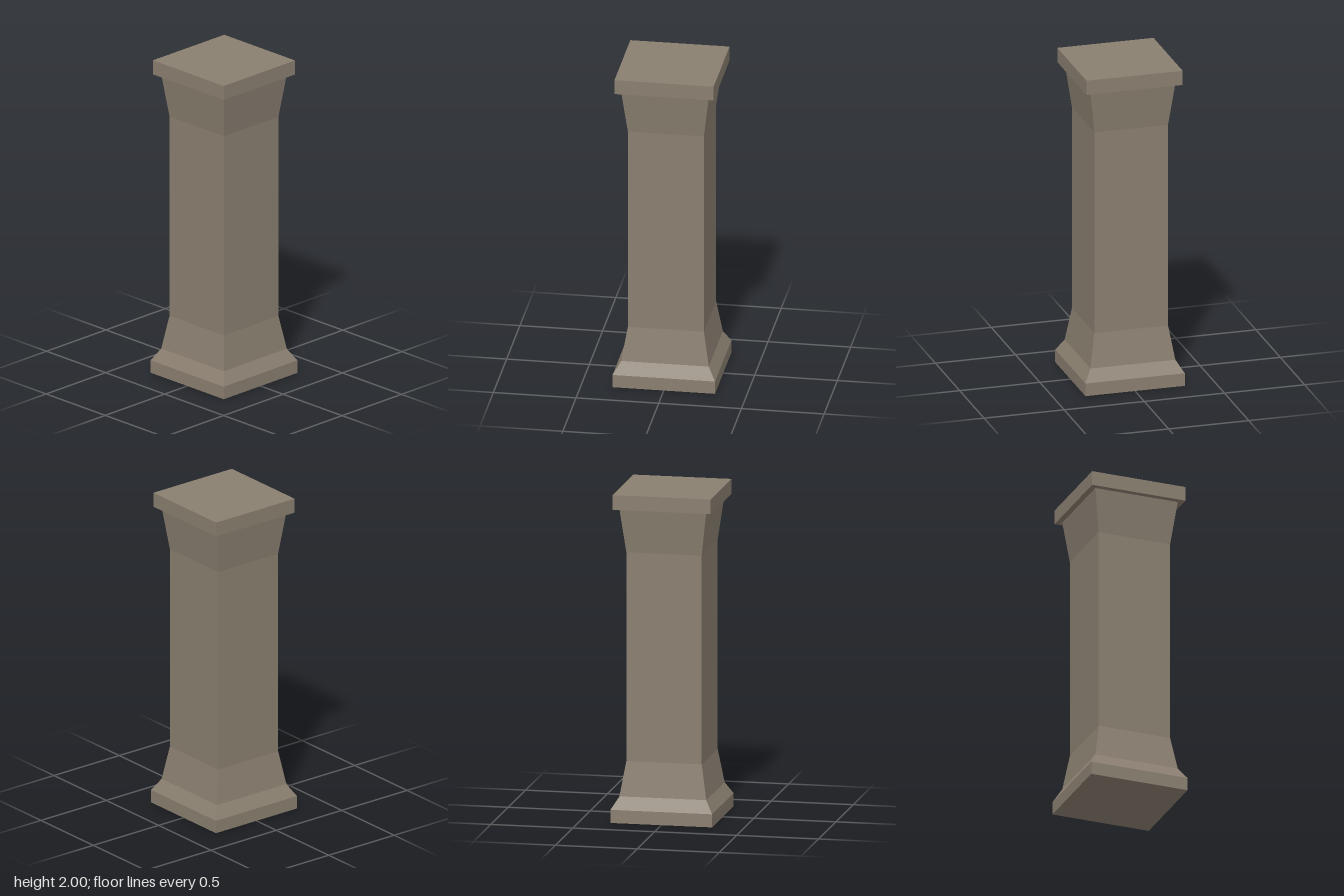
import * as THREE from 'three';

// Square frustum with hard edges; lower and upper are half widths
function squareSection(name, y0, y1, lower, upper, material, open) {
  const geometry = new THREE.CylinderGeometry(
    upper * Math.SQRT2, lower * Math.SQRT2, y1 - y0, 4, 1, open, Math.PI / 4
  ).toNonIndexed();
  geometry.computeVertexNormals();
  const mesh = new THREE.Mesh(geometry, material);
  mesh.name = name;
  mesh.position.y = (y0 + y1) / 2;
  return mesh;
}

export function createModel() {
  const stone = new THREE.MeshStandardMaterial({ color: 0x8a7f70 });
  stone.name = 'stone';

  const pillar = new THREE.Group();
  pillar.name = 'pillar';

  // name, bottom, top, half width at bottom, half width at top, open ended
  const sections = [
    ['plinth', 0, 0.08, 0.31, 0.31, false],
    ['plinthBevel', 0.08, 0.155, 0.31, 0.265, true],
    ['baseFlare', 0.155, 0.365, 0.265, 0.23, true],
    ['shaft', 0.365, 1.64, 0.23, 0.23, true],
    ['capitalFlare', 1.64, 1.91, 0.23, 0.265, true],
    ['capSlab', 1.91, 2, 0.3, 0.3, false],
  ];
  for (const [name, y0, y1, lower, upper, open] of sections) {
    pillar.add(squareSection(name, y0, y1, lower, upper, stone, open));
  }
  return pillar;
}
